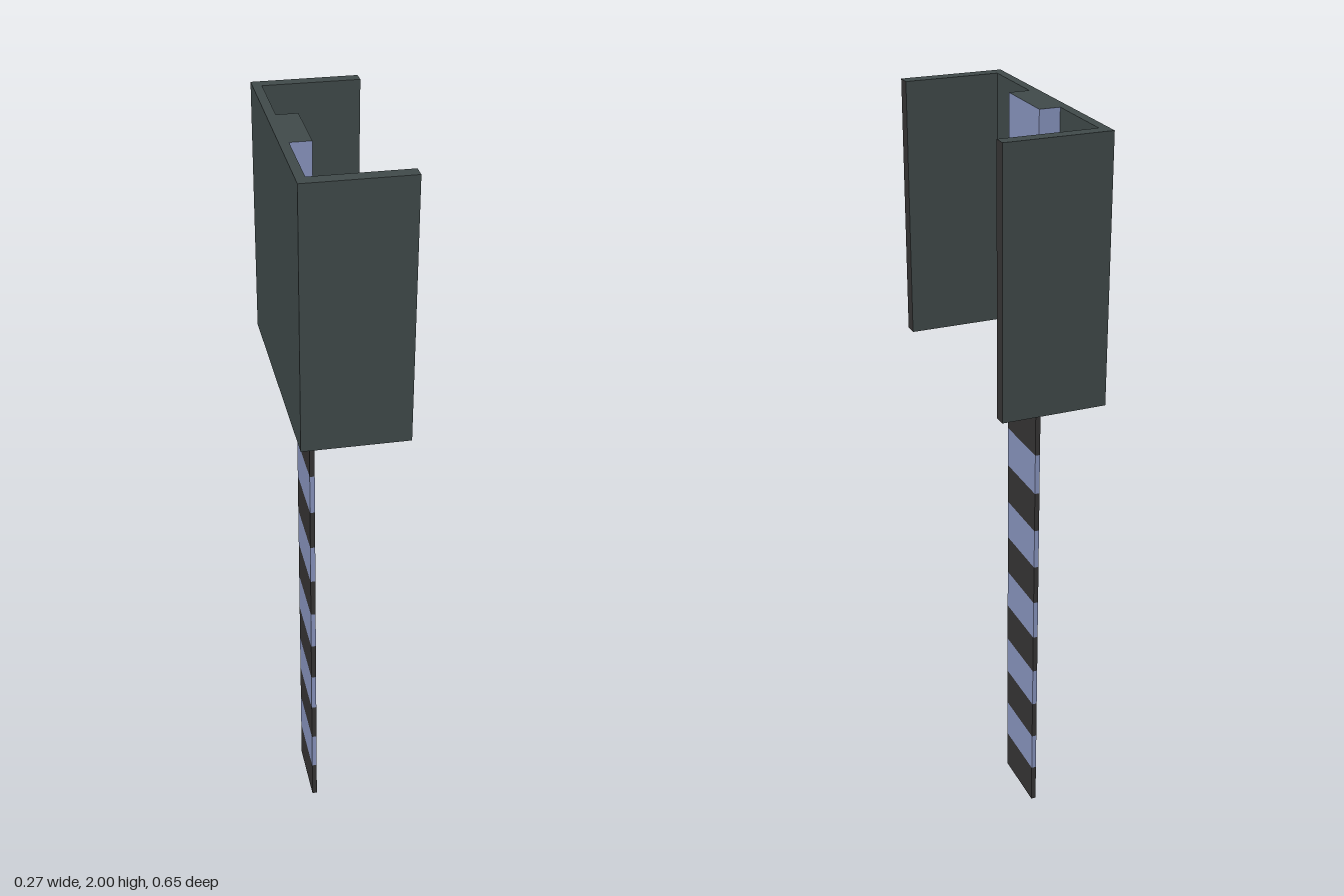
import * as THREE from 'three';

const mat = (color) => new THREE.MeshStandardMaterial({ color });

export function createModel() {
  const model = new THREE.Group();
  const slate = mat(0x404a4a), dark = mat(0x363434), blue = mat(0x8995bf);

  // box given by its limits on each axis
  function box(name, [x0, x1], [y0, y1], [z0, z1], material, parent) {
    const mesh = new THREE.Mesh(new THREE.BoxGeometry(x1 - x0, y1 - y0, z1 - z0), material);
    mesh.position.set((x0 + x1) / 2, (y0 + y1) / 2, (z0 + z1) / 2);
    mesh.name = name;
    parent.add(mesh);
  }

  // C-shaped housing, with dark open ends and undersides
  const housing = new THREE.Group();
  housing.name = 'housing';
  model.add(housing);
  const height = [1.34, 2];
  const wallFaces = [dark, slate, slate, dark, slate, slate];
  const backFaces = [slate, slate, slate, dark, slate, slate];
  box('backPlate', [-0.133, -0.11], height, [-0.293, 0.291], backFaces, housing);
  box('leftWall', [-0.133, 0.133], height, [0.291, 0.326], wallFaces, housing);
  box('rightWall', [-0.133, 0.133], height, [-0.326, -0.293], wallFaces, housing);

  // striped arm: thin below, thickened to meet the back plate inside the housing
  const arm = new THREE.Group();
  arm.name = 'stripedArm';
  model.add(arm);
  const count = 18, step = 2 / count;
  for (let i = 0; i < count; i++) {
    const m = i % 2 ? blue : dark;
    const inner = i >= 12 ? -0.11 : -0.07;
    const faces = [m, m, i === count - 1 ? slate : m, m, m, m];
    box('stripe', [inner, -0.057], [i * step, (i + 1) * step], [-0.09, 0.09], faces, arm);
  }
  return model;
}
